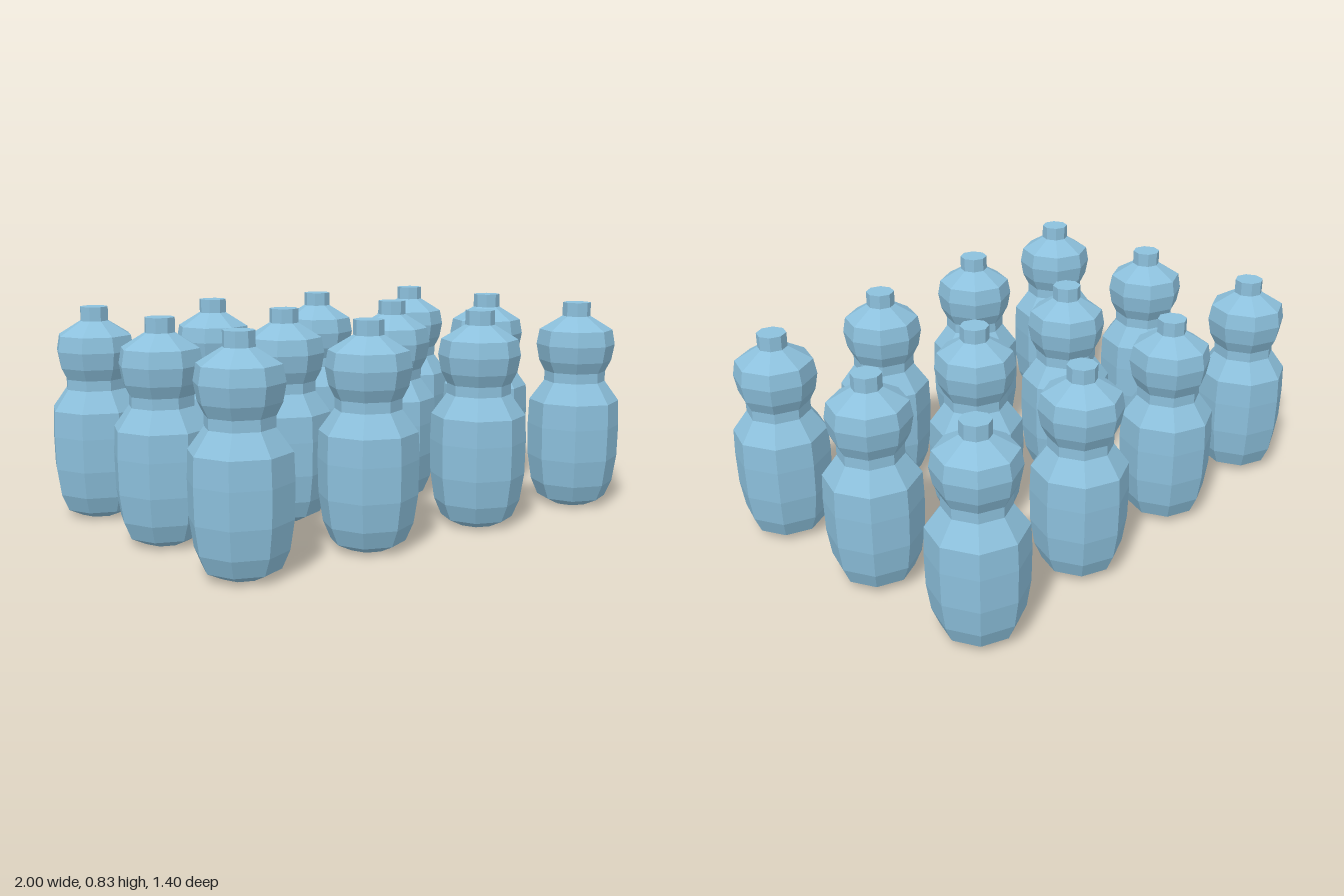
import * as THREE from 'three';

// Bottle outline from base to shoulder: [radius, height]
const BODY = [
  [0, 0], [0.075, 0], [0.137, 0.03], [0.165, 0.095], [0.181, 0.2], [0.184, 0.33],
  [0.18, 0.43], [0.122, 0.51], [0.122, 0.55], [0.145, 0.595], [0.157, 0.66],
  [0.146, 0.72], [0.056, 0.775],
];
// Short spout with a closed flat top
const SPOUT = [[0.056, 0.775], [0.056, 0.83], [0, 0.83]];

const SIDES = 8;

function lathe(profile) {
  return new THREE.LatheGeometry(profile.map(([r, y]) => new THREE.Vector2(r, y)), SIDES);
}

export function createModel() {
  const model = new THREE.Group();
  model.name = 'bottles';

  const bluePlastic = new THREE.MeshStandardMaterial({ color: 0x8cc0dc, flatShading: true });
  bluePlastic.name = 'bluePlastic';

  const bodyGeometry = lathe(BODY);
  const spoutGeometry = lathe(SPOUT);

  // Three rows of four identical bottles
  for (let row = 0; row < 3; row++) {
    for (let column = 0; column < 4; column++) {
      const bottle = new THREE.Group();
      bottle.name = `bottle${row * 4 + column + 1}`;

      const body = new THREE.Mesh(bodyGeometry, bluePlastic);
      body.name = 'body';
      const spout = new THREE.Mesh(spoutGeometry, bluePlastic);
      spout.name = 'spout';

      bottle.add(body, spout);
      bottle.position.set((column - 1.5) * 0.544, 0, (row - 1) * 0.518);
      model.add(bottle);
    }
  }
  return model;
}
